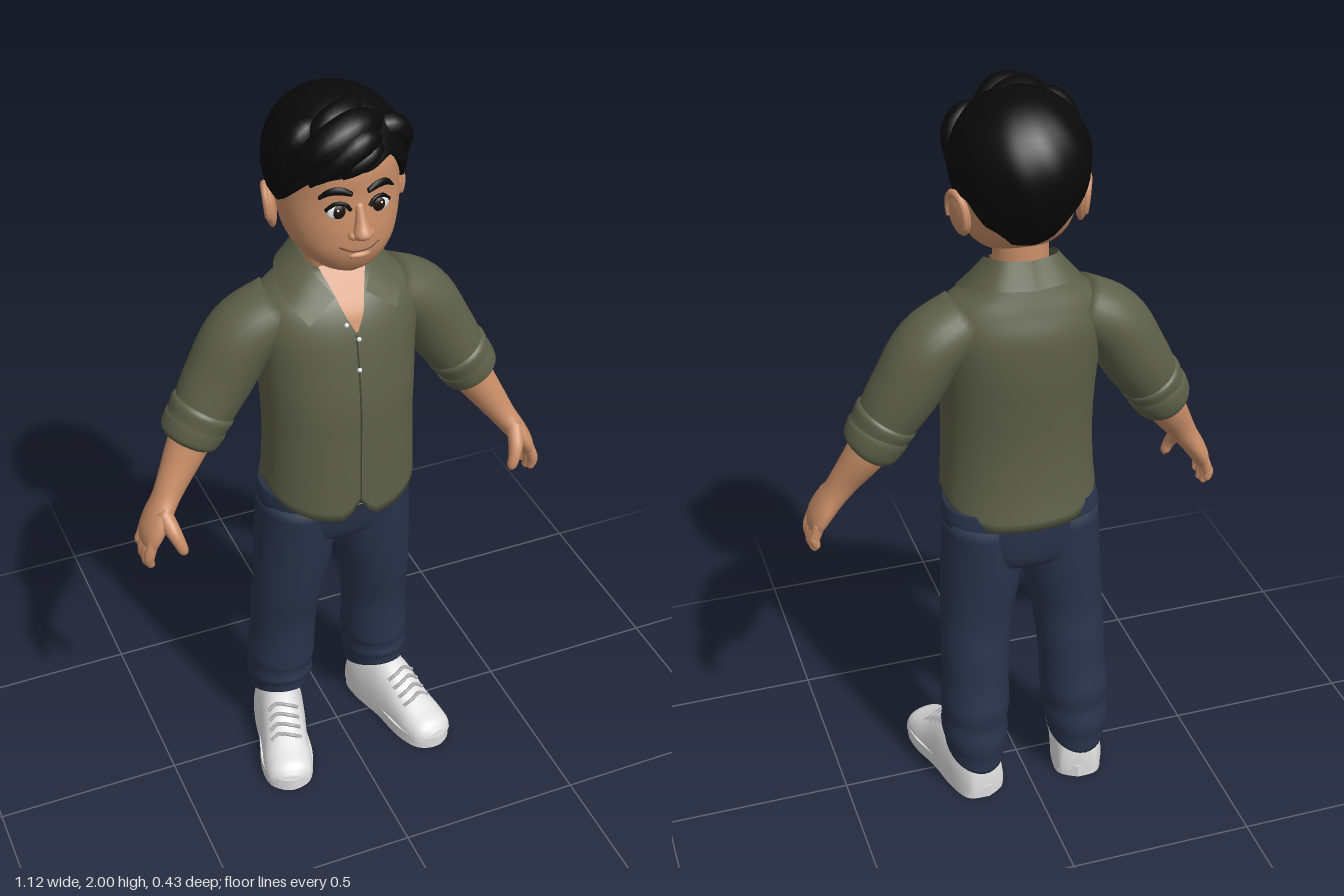
import * as THREE from 'three';

const V = (p) => new THREE.Vector3(p[0], p[1], p[2] ?? 0);
const spline = (pts) => new THREE.CatmullRomCurve3(pts.map(V), false, 'catmullrom', 0.5);
const mat = (name, color, side = THREE.FrontSide) => {
  const m = new THREE.MeshStandardMaterial({ color, side });
  m.name = name;
  return m;
};

// Grid surface from a point rule; wraps around in j when closed.
function lattice(fn, m, n, closed = true) {
  const pos = [], idx = [], w = closed ? n : n + 1;
  for (let i = 0; i <= m; i++) for (let j = 0; j < w; j++) pos.push(...fn(i, j));
  for (let i = 0; i < m; i++) for (let j = 0; j < n; j++) {
    const k = (j + 1) % w, a = i * w + j, b = i * w + k, c = a + w, d = b + w;
    idx.push(a, b, c, b, d, c);
  }
  const g = new THREE.BufferGeometry();
  g.setAttribute('position', new THREE.Float32BufferAttribute(pos, 3));
  g.setIndex(idx);
  g.computeVertexNormals();
  return g;
}

// Closed body through rows of [x, y, z, radiusU, radiusV].
function sweep(rows, { n = 24, steps = 5, ref = [0, 0, 1], axis = null, pow = 2 } = {}) {
  const path = spline(rows), size = spline(rows.map((r) => [r[3], r[4] ?? r[3]]));
  const m = (rows.length - 1) * steps, e = 2 / pow;
  const bend = (c) => Math.sign(c) * Math.abs(c) ** e;
  return lattice((i, j) => {
    const t = Math.min(Math.max((i - 1) / m, 0), 1), cap = i === 0 || i === m + 2;
    const p = path.getPoint(t), q = size.getPoint(t), a = (j / n) * Math.PI * 2;
    const dir = axis ? V(axis) : path.getTangent(t);
    const v = V(ref).addScaledVector(dir, -V(ref).dot(dir)).normalize();
    const u = v.clone().cross(dir);
    if (!cap) {
      p.addScaledVector(u, Math.max(q.x, 0.001) * bend(Math.cos(a)));
      p.addScaledVector(v, Math.max(q.y, 0.001) * bend(Math.sin(a)));
    }
    return p.toArray();
  }, m + 2, n);
}

// Ribbon between two curves.
function ribbon(a, b, seg = 24) {
  const A = spline(a), B = spline(b);
  return lattice((i, j) => A.getPoint(i / seg).lerp(B.getPoint(i / seg), j / 3).toArray(), seg, 3, false);
}

function warp(g, fn) {
  const p = g.attributes.position;
  for (let i = 0; i < p.count; i++) p.setXYZ(i, ...fn(p.getX(i), p.getY(i), p.getZ(i)));
  g.computeVertexNormals();
  return g;
}

function mirrored(g) {
  const m = g.clone().scale(-1, 1, 1);
  const id = m.index ? [...m.index.array] : Array.from({ length: m.attributes.position.count }, (_, i) => i);
  for (let i = 0; i < id.length; i += 3) [id[i], id[i + 1]] = [id[i + 1], id[i]];
  m.setIndex(id);
  return m;
}

const ball = (x, y, z, rx, ry = rx, rz = rx) => new THREE.SphereGeometry(1, 20, 14).scale(rx, ry, rz).translate(x, y, z);
const cord = (pts, r) => new THREE.TubeGeometry(spline(pts), 20, r, 8);

export function createModel() {
  const model = new THREE.Group();
  model.name = 'standingMan';
  const skin = mat('skin', 0xc98e68, THREE.DoubleSide), shirt = mat('shirtGreen', 0x5d6049, THREE.DoubleSide);
  const seam = mat('shirtSeam', 0x3c3f30, THREE.DoubleSide), denim = mat('denim', 0x29334a);
  const black = mat('hairBlack', 0x090909), white = mat('white', 0xeeeeee), shoe = mat('shoeWhite', 0xdedede);
  const lace = mat('laceGrey', 0xaeaeae), lip = mat('lipBrown', 0x7a4432), iris = mat('irisBrown', 0x1d120c);
  const add = (name, g, m) => {
    const mesh = new THREE.Mesh(g, m);
    mesh.name = name;
    model.add(mesh);
  };
  const pair = (name, g, m) => {
    add(name + 'Left', g, m);
    add(name + 'Right', mirrored(g), m);
  };
  const up = [0, 1, 0];

  // Head, neck and open-neck skin
  const head = [[0, 1.572, 0.06, 0.03, 0.035], [0, 1.595, 0.04, 0.08, 0.08], [0, 1.64, 0.015, 0.122, 0.125],
    [0, 1.70, 0, 0.143, 0.143], [0, 1.78, -0.01, 0.15, 0.146], [0, 1.86, -0.015, 0.148, 0.15],
    [0, 1.93, -0.015, 0.11, 0.115], [0, 1.965, -0.015, 0.04, 0.04]];
  add('head', sweep(head, { n: 40, axis: up, pow: 2.15 }), skin);
  const faceZ = (x, y) => {
    const i = Math.max(1, head.findIndex((r) => r[1] >= y)), a = head[i - 1], b = head[i];
    const [, , cz, rx, rz] = a.map((s, k) => s + (b[k] - s) * (y - a[1]) / (b[1] - a[1]));
    return cz + rz * (1 - Math.abs(x / rx) ** 2.15) ** (1 / 2.15);
  };
  const onFace = (pts, lift) => pts.map(([x, y]) => [x, y, faceZ(x, y) + lift]);
  add('neck', sweep([[0, 1.44, -0.045, 0.075, 0.065], [0, 1.54, -0.035, 0.07, 0.065], [0, 1.66, -0.03, 0.07, 0.065]], { axis: up }), skin);
  const vee = [[0.003, 1.415, 0.127], [0.025, 1.46, 0.108], [0.042, 1.51, 0.071], [0.062, 1.56, 0.03]];
  add('openNeck', ribbon(vee.map(([x, y, z]) => [-x, y, z]), vee), skin);

  // Facial features
  add('nose', sweep([[0, 1.775, 0.134, 0.009, 0.008], [0, 1.735, 0.146, 0.014, 0.016], [0, 1.706, 0.157, 0.023, 0.023],
    [0, 1.692, 0.15, 0.019, 0.018], [0, 1.684, 0.142, 0.008, 0.008]], { axis: [0, -1, 0] }), skin);
  pair('nostril', ball(0.02, 1.699, 0.147, 0.013, 0.011, 0.014), skin);
  const ear = ball(0, 0, 0, 0.016, 0.057, 0.042).rotateY(0.3).rotateZ(-0.12).translate(0.155, 1.712, -0.042);
  pair('ear', ear, skin);
  pair('earRim', new THREE.TorusGeometry(0.038, 0.009, 8, 20, Math.PI * 1.3).rotateZ(-0.6).scale(0.95, 1.3, 1)
    .rotateY(Math.PI / 2 + 0.3).rotateZ(-0.12).translate(0.162, 1.716, -0.044), skin);
  const ez = faceZ(0.052, 1.76);
  pair('eyeWhite', ball(0.052, 1.76, ez - 0.004, 0.026, 0.021, 0.01), white);
  pair('iris', ball(0.05, 1.76, ez + 0.001, 0.017, 0.018, 0.008), iris);
  pair('eyeGlint', ball(0.055, 1.767, ez + 0.008, 0.003), white);
  pair('upperLash', cord(onFace([[0.024, 1.764], [0.038, 1.78], [0.06, 1.781], [0.08, 1.764]], 0.004), 0.005), black);
  pair('eyebrow', sweep(onFace([[0.02, 1.803], [0.045, 1.813], [0.07, 1.811], [0.092, 1.795]], 0.002)
    .map((p, i) => [...p, [0.006, 0.01, 0.009, 0.003][i], 0.007]), { n: 12 }), black);
  add('mouth', cord(onFace([[-0.05, 1.668], [-0.025, 1.656], [0, 1.653], [0.025, 1.656], [0.05, 1.668]], 0.001), 0.0035), lip);
  add('lowerLip', ball(0, 1.64, faceZ(0, 1.64) - 0.002, 0.028, 0.009, 0.011), skin);

  // Hair cap: its lower edge rises over forehead and ears and drops at the nape
  const edge = [[0, 1.86], [0.7, 1.84], [1.15, 1.775], [1.4, 1.75], [1.55, 1.77], [1.95, 1.765], [2.15, 1.69], [2.6, 1.645], [3.15, 1.64]];
  const hairline = (a) => {
    const t = Math.abs(a), i = Math.max(1, edge.findIndex((e) => e[0] >= t)), [p, q] = [edge[i - 1], edge[i]];
    return p[1] + (q[1] - p[1]) * (t - p[0]) / (q[0] - p[0]) + 0.035 * Math.exp(-(((a - 0.5) / 0.25) ** 2));
  };
  add('hairCap', lattice((i, j) => {
    const a = Math.PI - (j / 80) * Math.PI * 2, s = Math.min(i / 20, 1), tuck = i === 21 ? 0.78 : 1;
    const y = 1.998 - (1.998 - hairline(a)) * (1 - Math.cos(s * Math.PI / 2));
    const k = y > 1.83 ? Math.sqrt(Math.max(0, 1 - ((y - 1.83) / 0.168) ** 2)) : 1 - 0.5 * ((1.83 - y) / 0.19) ** 2;
    const r = k * tuck * (1 + 0.012 * s * Math.sin(a * 11 + y * 25));
    return [Math.sin(a) * 0.172 * r, y, -0.02 + Math.cos(a) * (Math.cos(a) > 0 ? 0.175 : 0.192) * r];
  }, 21, 80), black);

  // Swept locks at the front and sides
  const locks = [
    [[0.07, 1.93, 0.05, 0.03], [0, 1.95, 0.105, 0.045], [-0.08, 1.92, 0.115, 0.042], [-0.135, 1.86, 0.08, 0.025], [-0.148, 1.82, 0.06, 0.006]],
    [[0.05, 1.92, 0.11, 0.02], [0, 1.93, 0.14, 0.034], [-0.06, 1.89, 0.138, 0.03], [-0.1, 1.85, 0.115, 0.018], [-0.11, 1.825, 0.105, 0.004]],
    [[0.06, 1.90, 0.12, 0.01], [0.025, 1.90, 0.142, 0.024], [-0.02, 1.875, 0.148, 0.02], [-0.045, 1.85, 0.142, 0.004]],
    [[0.06, 1.92, 0.06, 0.02], [0.11, 1.915, 0.06, 0.033], [0.145, 1.88, 0.045, 0.028], [0.152, 1.82, 0.025, 0.016], [0.148, 1.77, 0.01, 0.004]],
    [[-0.06, 1.95, 0.03, 0.02], [-0.11, 1.93, 0.05, 0.034], [-0.145, 1.88, 0.04, 0.028], [-0.152, 1.81, 0.025, 0.014], [-0.148, 1.765, 0.01, 0.004]],
    [[0.07, 1.96, -0.04, 0.02], [0.02, 1.965, 0.03, 0.033], [-0.05, 1.955, 0.07, 0.035], [-0.11, 1.92, 0.06, 0.01]]];
  locks.forEach((rows, i) => add('hairLock' + (i + 1), sweep(rows, { n: 14 }), black));

  // Shirt body with a curved, notched hem
  const torso = [[0, 0.94, -0.008, 0.205, 0.168], [0, 1.0, 0, 0.2, 0.159], [0, 1.1, 0, 0.197, 0.157], [0, 1.2, -0.004, 0.2, 0.16],
    [0, 1.3, -0.015, 0.206, 0.158], [0, 1.4, -0.025, 0.215, 0.148], [0, 1.465, -0.03, 0.198, 0.125],
    [0, 1.51, -0.04, 0.14, 0.1], [0, 1.545, -0.05, 0.095, 0.078]];
  add('shirtBody', warp(sweep(torso, { n: 64, axis: up, pow: 2.2 }), (x, y, z) => {
    const f = Math.min(1, Math.hypot(x / 0.2, z / 0.16)), w = Math.max(0, 1 - (y - 0.94) / 0.07) * f;
    const notch = z > 0 ? 0.055 * Math.max(0, 1 - Math.abs(x) / 0.035) : 0;
    return [x, y + w * (notch - 0.075 * Math.min(1, Math.abs(z) / 0.155)), z];
  }), shirt);
  const front = [[1.405, 0.125], [1.3, 0.145], [1.2, 0.158], [1.1, 0.159], [1.0, 0.161], [0.93, 0.163]];
  add('placketSeam', ribbon(front.map(([y, z]) => [-0.003, y, z]), front.map(([y, z]) => [0.002, y, z])), seam);
  [[-0.024, 1.435, 0.118], [0.004, 1.395, 0.13], [0, 1.315, 0.145]].forEach((p, i) => add('button' + (i + 1), ball(...p, 0.006), white));

  // Collar
  pair('collar', ribbon(
    [[0, 1.6, -0.12], [0.07, 1.6, -0.095], [0.09, 1.585, -0.03], [0.077, 1.55, 0.03], [0.04, 1.5, 0.086]],
    [[0, 1.535, -0.152], [0.1, 1.535, -0.125], [0.147, 1.52, -0.05], [0.145, 1.485, 0.045], [0.115, 1.445, 0.106]]), shirt);

  // Sleeves with rolled cuffs
  pair('sleeve', sweep([[0.14, 1.435, -0.035, 0.075, 0.095], [0.235, 1.37, -0.042, 0.09, 0.098], [0.3, 1.265, -0.04, 0.089, 0.09],
    [0.345, 1.19, -0.033, 0.08, 0.082], [0.375, 1.13, -0.03, 0.068, 0.073]], { n: 28 }), shirt);
  pair('cuff', sweep([[0.342, 1.198, -0.033, 0.07, 0.074], [0.35, 1.185, -0.032, 0.084, 0.088], [0.368, 1.155, -0.03, 0.079, 0.083],
    [0.373, 1.146, -0.03, 0.082, 0.086], [0.392, 1.113, -0.028, 0.076, 0.08], [0.4, 1.1, -0.026, 0.06, 0.063]], { n: 28 }), shirt);

  // Forearms and hands
  pair('forearm', sweep([[0.35, 1.18, -0.03, 0.058], [0.4, 1.09, -0.02, 0.053, 0.055], [0.45, 1.01, 0.002, 0.041, 0.042],
    [0.478, 0.965, 0.014, 0.034, 0.043], [0.505, 0.925, 0.026, 0.03, 0.055], [0.525, 0.89, 0.032, 0.026, 0.057], [0.537, 0.86, 0.033, 0.018, 0.05]]), skin);
  [[0.07, 0.803], [0.044, 0.79], [0.018, 0.795], [-0.007, 0.816]].forEach(([z, tip], i) => pair('finger' + (i + 1), sweep([
    [0.53, 0.885, z, 0.014], [0.543, 0.85, z + 0.002, 0.0145], [0.546, tip + 0.025, z, 0.0135], [0.541, tip + 0.006, z - 0.002, 0.01], [0.539, tip, z - 0.002, 0.003]], { n: 12 }), skin));
  pair('thumb', sweep([[0.495, 0.95, 0.045, 0.022], [0.483, 0.915, 0.085, 0.02], [0.472, 0.885, 0.102, 0.016],
    [0.464, 0.86, 0.106, 0.013], [0.461, 0.848, 0.106, 0.004]], { n: 14 }), skin);

  // Waist and jeans
  add('waist', sweep([[0, 0.86, -0.02, 0.19, 0.125], [0, 0.98, -0.01, 0.19, 0.135]], { axis: up, n: 40 }), skin);
  add('jeansSeat', sweep([[0, 0.71, -0.038, 0.1, 0.07], [0, 0.75, -0.037, 0.17, 0.115], [0, 0.85, -0.032, 0.209, 0.134],
    [0, 0.905, -0.024, 0.203, 0.138]], { axis: up, n: 40, pow: 2.3 }), denim);
  pair('jeansLeg', warp(sweep([[0.108, 0.86, -0.032, 0.1, 0.125], [0.111, 0.7, -0.036, 0.107, 0.115], [0.128, 0.55, -0.043, 0.097, 0.1],
    [0.136, 0.44, -0.06, 0.093, 0.094], [0.139, 0.35, -0.067, 0.091, 0.095], [0.143, 0.28, -0.073, 0.094, 0.102], [0.145, 0.24, -0.074, 0.089, 0.098],
    [0.146, 0.2, -0.076, 0.091, 0.105], [0.146, 0.17, -0.076, 0.085, 0.1], [0.147, 0.14, -0.076, 0.08, 0.101]], { n: 32 }), (x, y, z) =>
    [x, y + (z + 0.075) * 0.45 * Math.min(1, Math.max(0, (0.27 - y) / 0.13)), z]), denim);

  // Shoes, toes turned outward
  const place = (g) => g.rotateY(0.25).translate(0.178, 0, 0.022);
  const tops = [[-0.188, 0.03, 0.06], [-0.175, 0.055, 0.12], [-0.12, 0.07, 0.155], [-0.04, 0.07, 0.17], [0.02, 0.067, 0.148],
    [0.07, 0.067, 0.115], [0.125, 0.069, 0.088], [0.17, 0.06, 0.07], [0.193, 0.03, 0.045]];
  pair('shoeUpper', place(warp(sweep(tops.map(([z, w, h]) => [0, 0.02, z, w, h - 0.02]), { axis: [0, 0, 1], ref: up, n: 32, pow: 2.4 }),
    (x, y, z) => [x, Math.max(y, 0.02), z])), shoe);
  const outline = new THREE.Shape(new THREE.SplineCurve([[0, -0.193], [0.055, -0.17], [0.07, -0.1], [0.067, 0], [0.073, 0.1], [0.055, 0.172], [0, 0.2],
    [-0.055, 0.172], [-0.073, 0.1], [-0.067, 0], [-0.07, -0.1], [-0.055, -0.17], [0, -0.193]].map((p) => new THREE.Vector2(...p))).getPoints(60));
  pair('shoeSole', place(new THREE.ExtrudeGeometry(outline, { depth: 0.036, bevelEnabled: false }).rotateX(Math.PI / 2).translate(0, 0.036, 0)), shoe);
  for (let i = 0; i < 4; i++) {
    const z = 0.015 + i * 0.024, y = 0.151 - i * 0.0155;
    pair('lace' + (i + 1), place(cord([[-0.042, y - 0.014, z], [-0.018, y + 0.002, z + 0.006], [0.018, y + 0.002, z - 0.004], [0.042, y - 0.014, z + 0.004]], 0.005)), lace);
  }
  return model;
}
